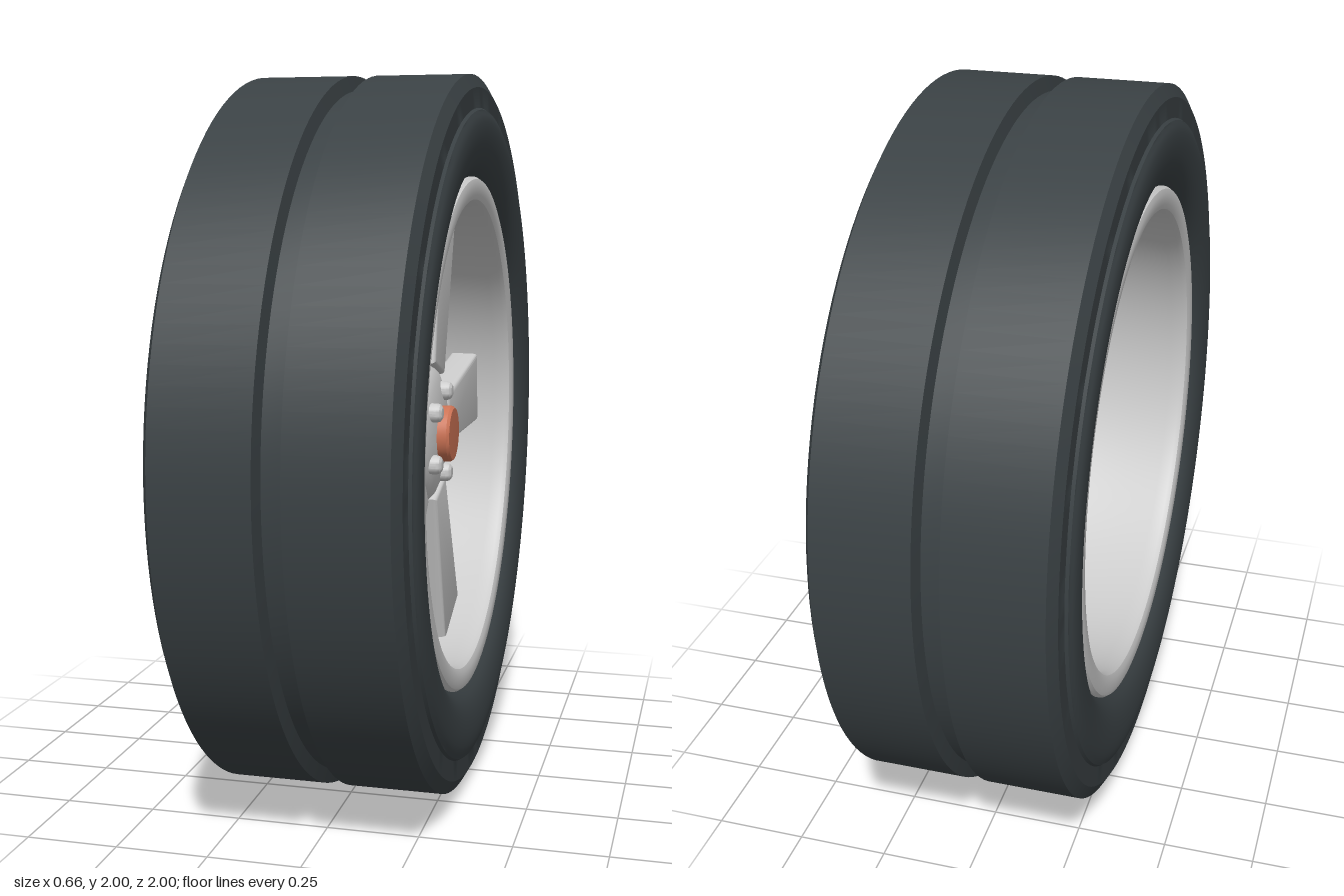
import * as THREE from 'three';
import { toCreasedNormals } from 'three/addons/utils/BufferGeometryUtils.js';

const material = (color) => new THREE.MeshStandardMaterial({ color });
const rubber = material(0x3a4144);
const metal = material(0xcccccc);
const copper = material(0xcc7355);
const black = material(0x222426);

// The wheel is built around the z axis, then turned so the axle lies along x.
function turned(name, profile, mat, segments = 96) {
  const points = profile.map(([r, z]) => new THREE.Vector2(r, z));
  const lathe = new THREE.LatheGeometry(points, segments).rotateX(Math.PI / 2);
  const mesh = new THREE.Mesh(toCreasedNormals(lathe, 0.5), mat);
  mesh.name = name;
  return mesh;
}

// Mirrors a half profile, running from the middle outwards, across z = 0.
const mirrored = (half) => [...half.map(([r, z]) => [r, -z]).reverse(), ...half];

function createTire() {
  const half = [[0.96, 0.025], [1, 0.035], [1, 0.29], [0.965, 0.31], [0.91, 0.31]];
  // rounded sidewall
  const wall = new THREE.SplineCurve([
    [0.905, 0.318], [0.88, 0.328], [0.84, 0.33], [0.79, 0.322], [0.75, 0.304], [0.715, 0.27],
  ].map(([r, z]) => new THREE.Vector2(r, z)));
  half.push(...wall.getPoints(16).map((p) => [p.x, p.y]));
  return turned('tire', mirrored(half), rubber, 128);
}

function createRim() {
  // outer skin, rounded lips and slightly hollowed barrel
  const lip = [[0.69, 0.2], [0.725, 0.27], [0.725, 0.288], [0.718, 0.298], [0.705, 0.302],
    [0.675, 0.3], [0.662, 0.294], [0.656, 0.28]];
  const barrel = [];
  for (let i = 1; i <= 16; i++) {
    const t = i / 16;
    barrel.push([0.656 + 0.016 * Math.sin(t * Math.PI), 0.28 - 0.56 * t]);
  }
  return turned('rim', [...mirrored(lip), ...barrel], metal, 128);
}

function createSpoke() {
  const b = 0.012;
  const shape = new THREE.Shape([
    new THREE.Vector2(0.185 + b, -0.06 + b), new THREE.Vector2(0.675 - b, -0.06 + b),
    new THREE.Vector2(0.655 - b, 0.162 - b), new THREE.Vector2(0.185 + b, 0.09 - b),
  ]);
  const geometry = new THREE.ExtrudeGeometry(shape, {
    depth: 0.09 - 2 * b, bevelEnabled: true, bevelSize: b, bevelThickness: b, bevelSegments: 3,
  }).translate(0, 0, 0.1 + b);
  const mesh = new THREE.Mesh(toCreasedNormals(geometry, 0.6), metal);
  mesh.name = 'spoke';
  return mesh;
}

function createHub() {
  return turned('hub', [[0, 0.075], [0.08, 0.08], [0.14, 0.088], [0.18, 0.102], [0.196, 0.122],
    [0.2, 0.145], [0.195, 0.165], [0.18, 0.18], [0.15, 0.193], [0.1, 0.204], [0.05, 0.208],
    [0, 0.21]], metal, 64);
}

function createBolt() {
  return turned('bolt', [[0.027, 0.18], [0.027, 0.212], [0.024, 0.221], [0.016, 0.227], [0, 0.229]],
    metal, 24);
}

export function createModel() {
  const model = new THREE.Group();
  model.name = 'wheel';
  const wheel = new THREE.Group();
  wheel.name = 'wheelAssembly';
  wheel.rotation.y = Math.PI / 2;
  wheel.position.y = 1;
  model.add(wheel);

  wheel.add(createTire(), createRim(), createHub());

  // five spokes with a bolt in line with each
  for (let i = 0; i < 5; i++) {
    const angle = (i * Math.PI * 2) / 5;
    const spoke = createSpoke();
    spoke.rotation.z = angle;
    const bolt = createBolt();
    bolt.position.set(0.125 * Math.cos(angle), 0.125 * Math.sin(angle), 0);
    wheel.add(spoke, bolt);
  }

  // centre cap
  wheel.add(turned('centreCap', [[0.08, 0.195], [0.08, 0.232], [0.074, 0.24], [0, 0.242]], copper, 48));

  // valve stem inside the barrel
  const valve = new THREE.Mesh(new THREE.CapsuleGeometry(0.013, 0.04, 6, 16), black);
  valve.name = 'valve';
  valve.rotation.x = Math.PI / 2 - 0.3;
  valve.position.set(0, 0.66, 0.155);
  wheel.add(valve);

  return model;
}
